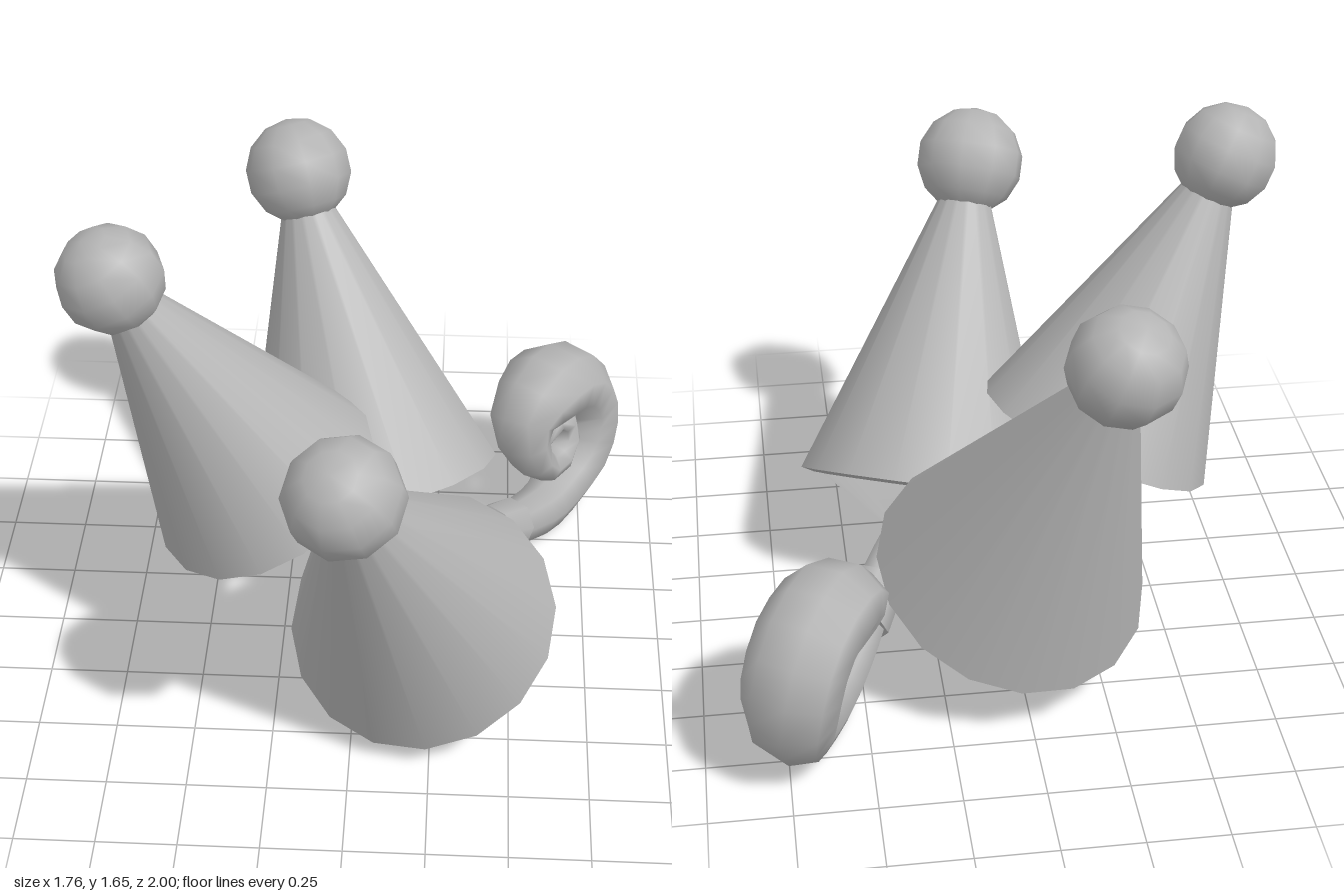
import * as THREE from 'three';
import { mergeVertices, toCreasedNormals } from 'three/addons/utils/BufferGeometryUtils.js';

const grey = new THREE.MeshStandardMaterial({ color: 0xb4b4b4, side: THREE.DoubleSide });
grey.name = 'plain grey';
const UP = new THREE.Vector3(0, 1, 0);

function part(name, geometry) {
  const mesh = new THREE.Mesh(geometry, grey);
  mesh.name = name;
  return mesh;
}

// Hollow cone with a thick rim, leaning from its base centre to the ball on its tip
function hornWithBall(name, base, tip, radius, ballRadius) {
  const from = new THREE.Vector3(...base);
  const axis = new THREE.Vector3(...tip).sub(from);
  const height = axis.length();
  const profile = [
    [0, 0.34], [radius * 0.55, 0.25], [radius * 0.82, 0.04], [radius * 0.9, -0.01],
    [radius, 0], [0.04, height],
  ].map(([r, y]) => new THREE.Vector2(r, y));

  const horn = new THREE.Group();
  horn.name = name;
  horn.position.copy(from);
  horn.quaternion.setFromUnitVectors(UP, axis.normalize());
  horn.add(part('cone', toCreasedNormals(new THREE.LatheGeometry(profile, 16), 0.8)));
  const ball = part('ball', new THREE.SphereGeometry(ballRadius, 10, 7));
  ball.position.y = height;
  horn.add(ball);
  return horn;
}

// Flap under the front horn, gathered from the front half of its rim to the tail root
function tailFlap(base, tip, radius, root) {
  const from = new THREE.Vector3(...base);
  const axis = new THREE.Vector3(...tip).sub(from).normalize();
  const side = new THREE.Vector3().crossVectors(axis, new THREE.Vector3(0, 0, 1)).normalize();
  const front = new THREE.Vector3().crossVectors(side, axis);
  const points = [new THREE.Vector3(...root)];
  const index = [];
  const steps = 6;
  for (let i = 0; i <= steps; i++) {
    const a = (i / steps) * Math.PI;
    points.push(from.clone()
      .addScaledVector(side, Math.cos(a) * radius)
      .addScaledVector(front, Math.sin(a) * radius));
    if (i < steps) index.push(0, i + 1, i + 2);
  }
  const geometry = new THREE.BufferGeometry().setFromPoints(points);
  geometry.setIndex(index);
  return part('tailFlap', toCreasedNormals(geometry, 0.5));
}

// Curled tail: x, y, z and radius along its centre line
const TAIL = [
  [0.28, 0.38, 0.05, 0.045], [0.39, 0.30, -0.15, 0.06], [0.455, 0.23, -0.27, 0.07],
  [0.53, 0.15, -0.42, 0.08], [0.63, 0.095, -0.60, 0.095], [0.73, 0.16, -0.80, 0.11],
  [0.74, 0.33, -0.88, 0.118], [0.69, 0.48, -0.82, 0.12], [0.60, 0.53, -0.68, 0.118],
  [0.53, 0.46, -0.57, 0.09], [0.56, 0.34, -0.55, 0.07], [0.62, 0.26, -0.60, 0.055],
  [0.68, 0.28, -0.69, 0.05], [0.68, 0.37, -0.71, 0.045], [0.64, 0.41, -0.64, 0.035],
  [0.63, 0.34, -0.61, 0.005],
];
const CURL_AXIS = new THREE.Vector3(0.78, 0, 0.62).normalize();

function curledTail() {
  const curve = new THREE.CatmullRomCurve3(TAIL.map(([x, y, z]) => new THREE.Vector3(x, y, z)));
  const rings = 30, sides = 8;
  let geometry = new THREE.TubeGeometry(curve, rings, 1, sides);
  const pos = geometry.attributes.position;
  const v = new THREE.Vector3();
  // Scale every ring about the centre line: taper it, and widen it across the curl
  for (let i = 0; i < pos.count; i++) {
    const u = Math.floor(i / (sides + 1)) / rings;
    const t = curve.getUtoTmapping(u) * (TAIL.length - 1);
    const k = Math.min(Math.floor(t), TAIL.length - 2);
    const radius = THREE.MathUtils.lerp(TAIL[k][3], TAIL[k + 1][3], t - k);
    const widen = 0.35 * THREE.MathUtils.smoothstep(t, 4, 6);
    const centre = curve.getPointAt(u);
    v.fromBufferAttribute(pos, i).sub(centre).multiplyScalar(radius);
    v.addScaledVector(CURL_AXIS, v.dot(CURL_AXIS) * widen).add(centre);
    pos.setXYZ(i, v.x, v.y, v.z);
  }
  geometry.deleteAttribute('uv');
  geometry.deleteAttribute('normal');
  geometry = mergeVertices(geometry, 1e-5);
  geometry.computeVertexNormals();
  return part('curledTail', geometry);
}

export function createModel() {
  const model = new THREE.Group();
  model.name = 'threeHornedCap';

  const frontBase = [0.215, 0.3, 0.27];
  const frontTip = [0, 1.22, 0.82];
  model.add(
    hornWithBall('frontHorn', frontBase, frontTip, 0.43, 0.18),
    hornWithBall('rightHorn', [-0.3, 0.62, 0], [-0.72, 1.49, 0.17], 0.385, 0.165),
    hornWithBall('backHorn', [0.02, 0.36, -0.36], [-0.24, 1.31, -0.78], 0.435, 0.175),
    tailFlap(frontBase, frontTip, 0.38, [0.31, 0.26, -0.01]),
    curledTail(),
  );

  // Band around the root of the tail
  const collar = part('tailCollar', new THREE.CylinderGeometry(0.095, 0.085, 0.16, 8));
  collar.position.set(0.46, 0.23, -0.28);
  collar.quaternion.setFromUnitVectors(UP, new THREE.Vector3(0.16, -0.16, -0.27).normalize());
  model.add(collar);

  return model;
}
